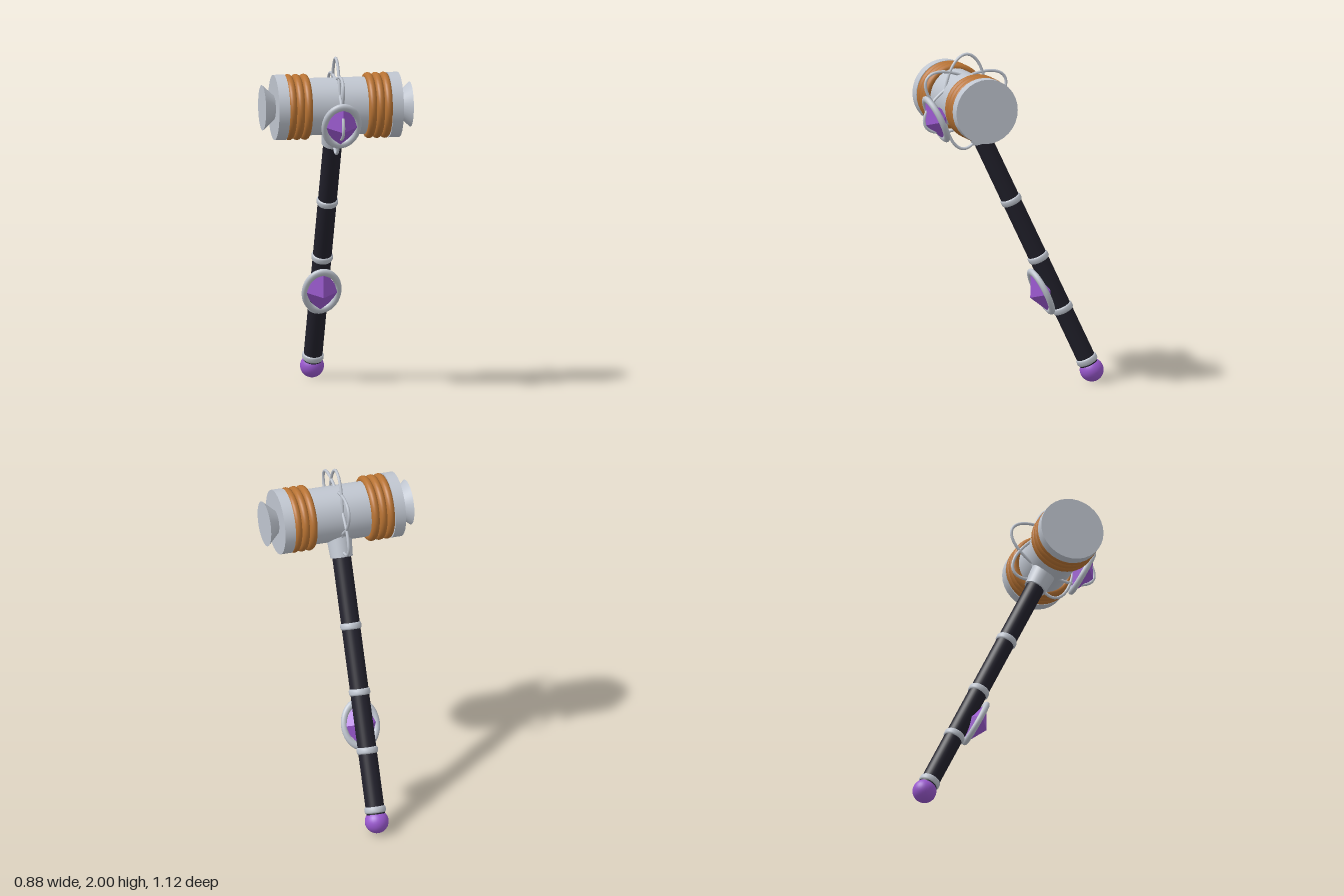
import * as THREE from 'three';

const mat = (name, color) => {
  const m = new THREE.MeshStandardMaterial({ color });
  m.name = name;
  return m;
};

export function createModel() {
  const steel = mat('steel', 0xc0c6d0);
  const copper = mat('copper', 0xb87333);
  const purple = mat('purple', 0x9b59d0);
  const grip = mat('dark grip', 0x22212c);

  const model = new THREE.Group();
  model.name = 'hammer';
  const add = (parent, name, geometry, material, x = 0, y = 0, z = 0) => {
    const mesh = new THREE.Mesh(geometry, material);
    mesh.name = name;
    mesh.position.set(x, y, z);
    parent.add(mesh);
    return mesh;
  };

  // Leaning shaft: local y runs from the pommel up to the head
  const shaft = new THREE.Group();
  shaft.name = 'shaft';
  shaft.position.set(0, 0.07, -0.495);
  shaft.rotation.x = 0.45;
  model.add(shaft);

  add(shaft, 'pommel', new THREE.SphereGeometry(0.07, 32, 20), purple);
  add(shaft, 'handle', new THREE.CylinderGeometry(0.055, 0.055, 1.62, 32), grip, 0, 0.84);
  add(shaft, 'collar', new THREE.CylinderGeometry(0.076, 0.066, 0.14, 32), steel, 0, 1.63);

  // Handle bands with slightly rounded edges
  const bandProfile = [[0.05, -0.02], [0.058, -0.019], [0.063, -0.01], [0.063, 0.01], [0.058, 0.019], [0.05, 0.02]]
    .map(([r, y]) => new THREE.Vector2(r, y));
  for (const y of [0.07, 0.42, 0.765, 1.154]) {
    add(shaft, 'handleBand', new THREE.LatheGeometry(bandProfile, 32), steel, 0, y);
  }

  // Faceted gems in oval rings, on the handle and on the head
  for (const [name, y, z] of [['handleGem', 0.571, 0.074], ['headGem', 1.813, 0.2]]) {
    const setting = new THREE.Group();
    setting.name = name;
    setting.position.set(0, y, z);
    shaft.add(setting);
    const ring = new THREE.TorusGeometry(0.1, 0.018, 14, 40);
    ring.scale(1, 1.3, 1);
    ring.computeVertexNormals();
    add(setting, 'gemRing', new THREE.TorusGeometry(0.1, 0.018, 14, 40), steel).scale.y = 1.3;
    const gem = new THREE.OctahedronGeometry(1);
    gem.scale(0.113, 0.148, 0.075);
    gem.computeVertexNormals();
    add(setting, 'gem', gem, purple);
  }

  // Head lies along x
  const head = new THREE.Group();
  head.name = 'head';
  head.position.set(0, 1.71, 0.293);
  model.add(head);

  const barrel = new THREE.CylinderGeometry(0.168, 0.168, 0.64, 40);
  barrel.rotateZ(Math.PI / 2);
  add(head, 'barrel', barrel, steel).scale.z = 0.89;

  for (const s of [-1, 1]) {
    for (const x of [0.19, 0.237, 0.284]) {
      add(head, 'copperCoil', new THREE.TorusGeometry(0.17, 0.0235, 14, 40), copper, s * x)
        .rotation.y = Math.PI / 2;
    }
    const cap = new THREE.CylinderGeometry(0.191, 0.191, 0.064, 32);
    add(head, 'cap', cap, steel, s * 0.337).rotation.z = Math.PI / 2;
    // Flared striking face, wide end outward
    const flare = new THREE.CylinderGeometry(0.133, 0.069, 0.07, 32);
    add(head, 'strikingFace', flare, steel, s * 0.403).rotation.z = -s * Math.PI / 2;
  }

  // Three crossing oval wires around the middle of the head
  for (let k = 0; k < 3; k++) {
    const a = (88 + k * 60) * Math.PI / 180;
    const points = [];
    for (let i = 0; i < 40; i++) {
      const t = i / 40 * Math.PI * 2;
      const u = 0.28 * Math.cos(t), v = 0.13 * Math.sin(t);
      points.push(new THREE.Vector3(0,
        u * Math.sin(a) + v * Math.cos(a),
        -u * Math.cos(a) + v * Math.sin(a)));
    }
    const path = new THREE.CatmullRomCurve3(points, true);
    add(head, 'wireLoop', new THREE.TubeGeometry(path, 80, 0.009, 8, true), steel);
  }
  return model;
}
